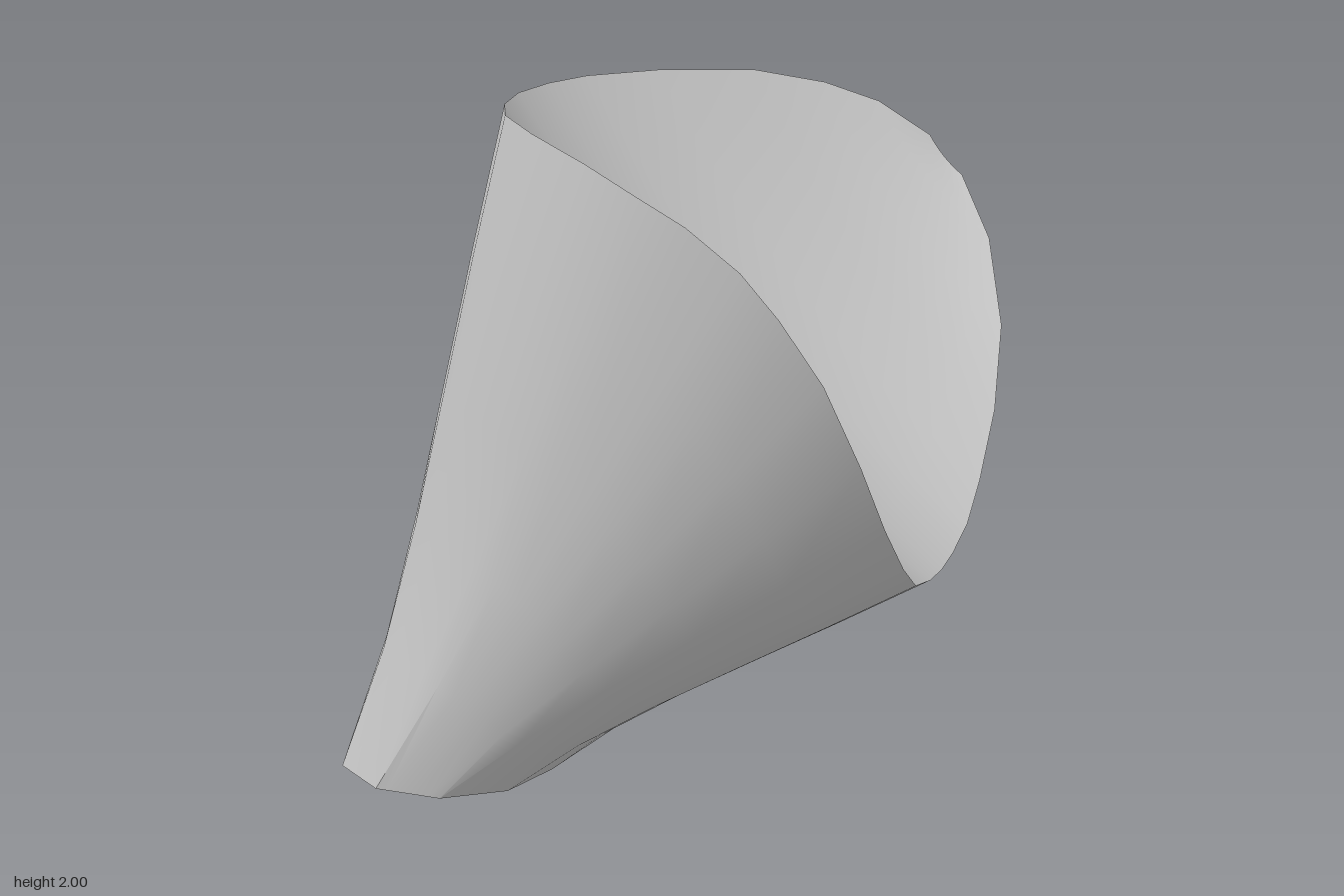
import * as THREE from 'three';
import { toCreasedNormals } from 'three/addons/utils/BufferGeometryUtils.js';

// Half of the saddle-shaped rim, from the tall back edge to the low lip:
// x, y, z and the angle in degrees of the foot point that the wall runs down to
const HALF_RIM = [
  [-0.335, 2, 0, 180], [-0.31, 2, 0.16, 162], [-0.25, 2, 0.3, 144], [-0.1, 1.995, 0.48, 134],
  [0.12, 1.975, 0.68, 126], [0.3, 1.93, 0.795, 118], [0.45, 1.875, 0.847, 108], [0.6, 1.78, 0.873, 102],
  [0.7, 1.67, 0.87, 95], [0.8, 1.5, 0.82, 86], [0.87, 1.27, 0.72, 78], [0.895, 1.06, 0.57, 72],
  [0.9, 0.9, 0.4, 54], [0.9, 0.81, 0.27, 36], [0.9, 0.775, 0.12, 14], [0.9, 0.765, 0, 0],
];
const COLUMNS = 30, SIDES = 10;
const FOOT_RADIUS = 0.325;
const footCentre = new THREE.Vector3(-0.577, 0, 0);
const rimCentre = new THREE.Vector3(0.285, 1.38, 0);

// Cross-sections: height along the wall, and how far each pulls in to form the neck;
// front and back flanks each give the narrowing of their upper and lower part
const ROWS = [
  { t: 0, pinch: 0, front: [0, 0], back: [0, 0] },
  { t: 0.2, pinch: 0.08, front: [0.11, 0.08], back: [0.06, 0.16] },
  { t: 0.4, pinch: 0.06, front: [0.14, 0.055], back: [0.07, 0.19] },
  { t: 0.6, pinch: 0.03, front: [0.09, 0.03], back: [0.05, 0.14] },
  { t: 0.8, pinch: 0.01, front: [0.03, 0.01], back: [0.02, 0.05] },
  { t: 1, pinch: 0, front: [0, 0], back: [0, 0] },
];

// Column number folded onto the half rim, and the side of the model it lies on
function fold(i) {
  const k = (i + COLUMNS) % COLUMNS;
  return k <= 15 ? [k, 1] : [COLUMNS - k, -1];
}

function rimPoint(i) {
  const [k, side] = fold(i);
  const [x, y, z] = HALF_RIM[k];
  return new THREE.Vector3(x, y, z * side);
}

// Point on the ten-sided foot outline
function footPoint(i) {
  const [k, side] = fold(i);
  const a = THREE.MathUtils.degToRad(HALF_RIM[k][3]), half = Math.PI / SIDES;
  const corner = Math.round((a - half) / (2 * half)) * 2 * half;
  const r = (FOOT_RADIUS * Math.cos(half)) / Math.cos(a - corner - half);
  return new THREE.Vector3(r * Math.cos(a), 0, r * Math.sin(a) * side).add(footCentre);
}

// Point on the wall, lofted from the foot outline to the rim
function wallPoint(row, i) {
  const [k, side] = fold(i);
  const [upper, lower] = side > 0 ? row.front : row.back;
  const centre = footCentre.clone().lerp(rimCentre, row.t);
  const p = footPoint(i).lerp(rimPoint(i), row.t);
  p.x += (centre.x - p.x) * row.pinch;
  p.y += (centre.y - p.y) * row.pinch;
  p.z *= 1 - THREE.MathUtils.lerp(upper, lower, THREE.MathUtils.clamp((k - 4) / 5, 0, 1));
  return p;
}

// Point on the hollow of the mouth: a gently sagging sheet strung from back edge to lip
function hollowPoint(k, u) {
  const back = rimPoint(k), lip = rimPoint(15 - k);
  const sag = 0.05 * back.distanceTo(lip) * 4 * u * (1 - u);
  const p = back.lerp(lip, u);
  p.x -= sag * Math.SQRT1_2;
  p.y -= sag * Math.SQRT1_2;
  return p;
}

// Smooth skin over a grid of points; closed grids join the last column to the first
function skin(grid, closed) {
  const width = grid[0].length, index = [];
  for (let j = 0; j < grid.length - 1; j++) {
    for (let i = 0; i < (closed ? width : width - 1); i++) {
      const a = j * width + i, b = j * width + ((i + 1) % width);
      index.push(a, b, a + width, b, b + width, a + width);
    }
  }
  const geometry = new THREE.BufferGeometry().setFromPoints(grid.flat());
  geometry.setIndex(index);
  return toCreasedNormals(geometry, 0.5);
}

export function createModel() {
  const group = new THREE.Group();
  group.name = 'flaredVessel';
  const grey = new THREE.MeshStandardMaterial({ color: 0xc8c8c8 });
  grey.name = 'grey';

  const add = (name, geometry) => {
    const mesh = new THREE.Mesh(geometry, grey);
    mesh.name = name;
    group.add(mesh);
    return mesh;
  };

  // Outer wall
  const columns = Array.from({ length: COLUMNS }, (_, i) => i);
  add('wall', skin(ROWS.map((row) => columns.map((i) => wallPoint(row, i))), true));

  // Shallow hollow closing the mouth, facing up and out
  const strips = Array.from({ length: 15 }, (_, i) => 7 - i);
  const steps = Array.from({ length: 9 }, (_, i) => i / 8);
  add('mouthHollow', skin(strips.map((k) => steps.map((u) => hollowPoint(k, u))), false));

  // Flat foot, facing down
  const foot = add('foot', new THREE.CircleGeometry(FOOT_RADIUS, SIDES).rotateX(Math.PI / 2));
  foot.position.copy(footCentre);

  return group;
}
